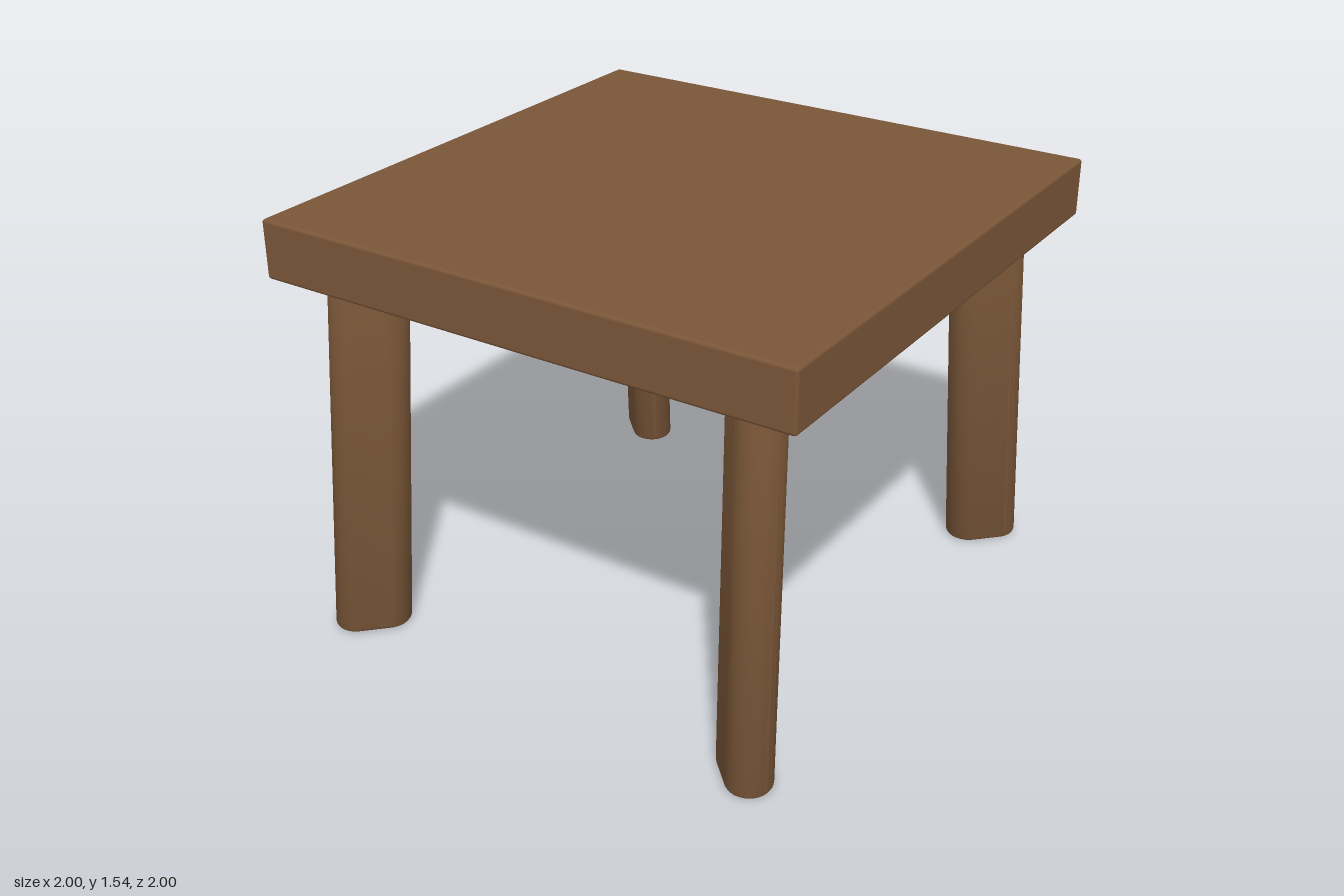
import * as THREE from 'three';
import { toCreasedNormals } from 'three/addons/utils/BufferGeometryUtils.js';
import { RoundedBoxGeometry } from 'three/addons/geometries/RoundedBoxGeometry.js';

const LEG_TOP = 1.35;

// Flat slab with round long edges, its wide side pointing out to the corner, splayed outwards
function legGeometry(sx, sz) {
  const r = 0.08, s = 0.055, bevel = 0.02;
  const outline = new THREE.Shape();
  outline.absarc(s, 0, r, -Math.PI / 2, Math.PI / 2, false);
  outline.absarc(-s, 0, r, Math.PI / 2, Math.PI * 1.5, false);
  const geometry = new THREE.ExtrudeGeometry(outline, {
    depth: LEG_TOP - 2 * bevel,
    curveSegments: 12,
    bevelThickness: bevel,
    bevelSize: bevel,
    bevelOffset: -bevel,
    bevelSegments: 4,
  });
  geometry.translate(0, 0, bevel);
  geometry.rotateX(-Math.PI / 2);
  geometry.rotateY(-sx * sz * Math.PI / 4);

  // Lean by shearing, so the foot stays level
  const p = geometry.attributes.position;
  for (let i = 0; i < p.count; i++) {
    const t = p.getY(i) / LEG_TOP;
    p.setX(i, p.getX(i) + sx * THREE.MathUtils.lerp(0.785, 0.75, t));
    p.setZ(i, p.getZ(i) + sz * THREE.MathUtils.lerp(0.882, 0.788, t));
  }
  return toCreasedNormals(geometry, 0.7);
}

export function createModel() {
  const model = new THREE.Group();
  model.name = 'table';
  const wood = new THREE.MeshStandardMaterial({ color: 0x7a5638 });
  wood.name = 'brown wood';

  // Thick square top with slightly softened edges
  const top = new THREE.Mesh(new RoundedBoxGeometry(2, 0.21, 2, 3, 0.012), wood);
  top.name = 'tableTop';
  top.position.y = 1.435;
  model.add(top);

  // Four splayed legs
  for (const sx of [1, -1]) {
    for (const sz of [1, -1]) {
      const leg = new THREE.Mesh(legGeometry(sx, sz), wood);
      leg.name = (sz > 0 ? 'front' : 'back') + (sx > 0 ? 'Left' : 'Right') + 'Leg';
      model.add(leg);
    }
  }
  return model;
}
